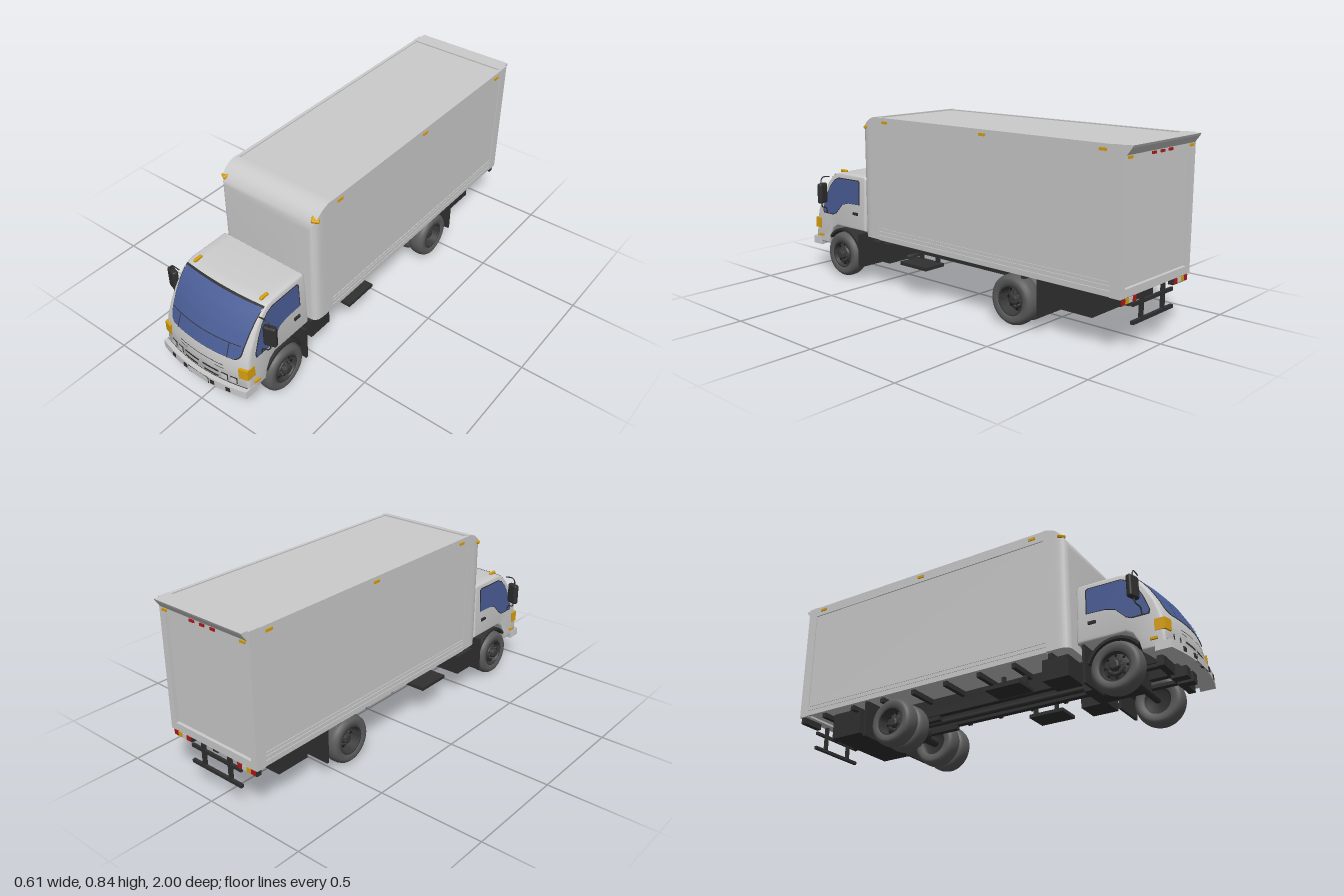
import * as THREE from 'three';
import { toCreasedNormals } from 'three/addons/utils/BufferGeometryUtils.js';
import { RoundedBoxGeometry } from 'three/addons/geometries/RoundedBoxGeometry.js';

const GREY = 0xcccccc, DARK = 0x303030, TYRE = 0x5c5c5c, GLASS = 0x4a5d96, AMBER = 0xd9a010, RED = 0xb01818;
const V = (x, y, z) => new THREE.Vector3(x, y, z);

function add(parent, name, geo, color, x = 0, y = 0, z = 0) {
  const mesh = new THREE.Mesh(geo, new THREE.MeshStandardMaterial({ color, side: THREE.DoubleSide }));
  mesh.name = name;
  mesh.position.set(x, y, z);
  parent.add(mesh);
  return mesh;
}
// Box given by its limits on each axis
function block(parent, name, color, x0, x1, y0, y1, z0, z1) {
  return add(parent, name, new THREE.BoxGeometry(x1 - x0, y1 - y0, z1 - z0), color, (x0 + x1) / 2, (y0 + y1) / 2, (z0 + z1) / 2);
}
// Side profile given as [z, y] points, extruded across x
function extrudeX(points, width, steps = 1, bevel = 0) {
  const depth = width - 2 * bevel;
  const shape = new THREE.Shape(points.map(p => new THREE.Vector2(p[0], p[1])));
  const geo = new THREE.ExtrudeGeometry(shape, {
    depth, steps, bevelEnabled: bevel > 0, bevelThickness: bevel, bevelSize: bevel, bevelOffset: -bevel, bevelSegments: 3 });
  return geo.rotateY(-Math.PI / 2).translate(depth / 2, 0, 0);
}
function moveVertices(geo, rule) {
  const p = geo.attributes.position, v = V();
  for (let i = 0; i < p.count; i++) {
    rule(v.fromBufferAttribute(p, i));
    p.setXYZ(i, v.x, v.y, v.z);
  }
  return toCreasedNormals(geo, 0.6);
}
// The cab narrows upward and its nose is bowed
function cabRule(v) {
  const bow = THREE.MathUtils.smoothstep(v.z, 0.7, 0.95) * 0.035 * (v.x / 0.24) ** 2;
  v.z -= bow;
  v.x *= (0.248 - 0.045 * v.y) / 0.24;
}

const nose = [[0.76, 0.53], [0.8, 0.522], [0.83, 0.508], [0.87, 0.474], [0.906, 0.43], [0.94, 0.37], [0.963, 0.31], [0.972, 0.25], [0.976, 0.16]];
function noseZ(y) {
  for (let i = 1; i < nose.length; i++) {
    const [z0, y0] = nose[i - 1], [z1, y1] = nose[i];
    if (y >= y1) return z0 + (z1 - z0) * (y0 - y) / (y0 - y1);
  }
  return 0.976;
}
// Sheet lying on the nose; span(y) gives its left and right limits
function nosePatch(parent, name, color, y0, y1, span, off = 0.004) {
  const geo = new THREE.PlaneGeometry(1, 1, 16, 20);
  return add(parent, name, moveVertices(geo, v => {
    const y = y0 + (y1 - y0) * (v.y + 0.5) ** 1.6, [a, b] = span(y);
    v.set(a + (b - a) * (v.x + 0.5), y, noseZ(y) + off);
    cabRule(v);
  }), color);
}

function buildCab(truck) {
  const cab = new THREE.Group();
  cab.name = 'cab';
  truck.add(cab);
  const outline = [[0.555, 0.255], [0.78, 0.255], [0.82, 0.235], [0.85, 0.195], [0.865, 0.15], [0.97, 0.15],
    ...nose.slice().reverse(), [0.568, 0.53], [0.555, 0.515]];
  add(cab, 'cabShell', moveVertices(extrudeX(outline, 0.48, 12, 0.011), cabRule), GREY);

  // Side windows and their dark seals, one slab through the shell
  const win = [[0.605, 0.385], [0.69, 0.382], [0.735, 0.37], [0.79, 0.322], [0.82, 0.312], [0.91, 0.312],
    [0.915, 0.33], [0.885, 0.4], [0.85, 0.452], [0.81, 0.485], [0.77, 0.5], [0.615, 0.502], [0.605, 0.495]];
  const seal = win.map(([z, y]) => [0.76 + (z - 0.76) * 1.035, 0.41 + (y - 0.41) * 1.05]);
  add(cab, 'windowSeals', moveVertices(extrudeX(seal, 0.483), cabRule), DARK);
  add(cab, 'sideWindows', moveVertices(extrudeX(win, 0.486), cabRule), GLASS);

  // Windscreen with rounded lower corners
  const screen = (grow, bottom) => y => {
    const r = 0.035, d = Math.max(0, bottom + r - y);
    const w = 0.2 + grow + 0.028 * (y - 0.31) / 0.2 - r + Math.sqrt(Math.max(0, r * r - d * d));
    return [-w, w];
  };
  nosePatch(cab, 'windscreenSeal', DARK, 0.307, 0.519, screen(0.004, 0.307), 0.002);
  nosePatch(cab, 'windscreen', GLASS, 0.311, 0.515, screen(0, 0.311), 0.0045);
  nosePatch(cab, 'wiperBar', DARK, 0.374, 0.377, () => [-0.2, 0.2], 0.008);

  // Grille, plate and bumper
  nosePatch(cab, 'noseSeam', DARK, 0.257, 0.26, () => [-0.125, 0.125]);
  nosePatch(cab, 'bumperSeam', DARK, 0.174, 0.178, () => [-0.235, 0.235]);
  const bumper = new THREE.BoxGeometry(0.482, 0.038, 0.07, 16, 1, 3).translate(0, 0.154, 0.965);
  add(cab, 'bumper', moveVertices(bumper, cabRule), GREY);
  block(cab, 'plateBorder', DARK, -0.058, 0.058, 0.135, 0.169, 0.99, 1.0);
  block(cab, 'numberPlate', GREY, -0.056, 0.056, 0.137, 0.167, 0.99, 1.001);

  for (const s of [-1, 1]) {
    const span = (a, b) => () => s > 0 ? [a, b] : [-b, -a];
    nosePatch(cab, 'wiper', DARK, 0.312, 0.375, span(0.142, 0.146), 0.008);
    nosePatch(cab, 'upperGrille', DARK, 0.207, 0.217, span(0.01, 0.097));
    nosePatch(cab, 'lowerGrille', DARK, 0.181, 0.19, span(0.02, 0.095));
    nosePatch(cab, 'noseVent', DARK, 0.24, 0.243, span(0.08, 0.125));
    for (const x of [0.128, 0.173]) {
      nosePatch(cab, 'headlightRim', DARK, 0.185, 0.217, span(x - 0.017, x + 0.017), 0.004);
      nosePatch(cab, 'headlight', GREY, 0.188, 0.214, span(x - 0.014, x + 0.014), 0.007);
    }
    for (const x of [0.078, 0.157]) {
      const fog = new THREE.BoxGeometry(0.02, 0.02, 0.01).translate(s * x, 0.154, 0.998);
      add(cab, 'fogLight', moveVertices(fog, cabRule), DARK);
    }
    const signal = new THREE.BoxGeometry(0.042, 0.052, 0.045, 4, 2, 2).translate(s * 0.2215, 0.25, 0.957);
    add(cab, 'turnSignal', moveVertices(signal, cabRule), AMBER);
    block(cab, 'sideMarker', AMBER, s * 0.243 - 0.005, s * 0.243 + 0.005, 0.185, 0.196, 0.88, 0.91);
    block(cab, 'doorHandle', DARK, s * 0.236 - 0.004, s * 0.236 + 0.004, 0.33, 0.343, 0.61, 0.645);
    add(cab, 'roofMarker', new RoundedBoxGeometry(0.014, 0.016, 0.045, 2, 0.005), AMBER, s * 0.186, 0.533, 0.765);

    // Mirror on a bent tube
    const arm = new THREE.CatmullRomCurve3([V(0.226, 0.5, 0.84), V(0.265, 0.502, 0.84), V(0.277, 0.49, 0.84), V(0.277, 0.42, 0.84),
      V(0.277, 0.355, 0.84), V(0.268, 0.345, 0.845), V(0.245, 0.34, 0.85), V(0.236, 0.31, 0.85)].map(p => V(p.x * s, p.y, p.z)));
    add(cab, 'mirrorArm', new THREE.TubeGeometry(arm, 36, 0.003, 6), DARK);
    add(cab, 'mirror', new RoundedBoxGeometry(0.058, 0.103, 0.028, 3, 0.01), DARK, s * 0.276, 0.422, 0.835).rotation.y = s * 0.3;

    // Fender arch and flap around the front wheel
    const arc = [];
    for (let i = 0; i <= 12; i++) arc.push(THREE.MathUtils.degToRad(35 + i * 10.5));
    const ring = [...arc.map(a => [0.134, a]), ...arc.slice().reverse().map(a => [0.122, a])];
    add(cab, 'fender', extrudeX(ring.map(([r, a]) => [0.724 + r * Math.cos(a), 0.113 + r * Math.sin(a)]), 0.11), DARK, s * 0.183);
    block(cab, 'frontMudFlap', DARK, s * 0.165 - 0.085, s * 0.165 + 0.085, 0.07, 0.24, 0.583, 0.595);
  }
}

function buildCargo(truck) {
  const cargo = new THREE.Group();
  cargo.name = 'cargoBox';
  truck.add(cargo);
  block(cargo, 'cargoBody', GREY, -0.255, 0.255, 0.25, 0.833, -0.93, 0.425);
  // Front cap: the top rolls over and the sides turn in
  const cap = moveVertices(new THREE.BoxGeometry(1, 1, 1, 1, 1, 20), v => {
    const t = Math.sin((v.z + 0.5) * Math.PI / 2);
    v.x = Math.sign(v.x) * (0.223 + 0.037 * Math.sqrt(Math.max(0, 1 - t ** 7)));
    v.y = v.y > 0 ? 0.73 + 0.11 * Math.sqrt(Math.max(0, 1 - t * t)) : 0.245;
    v.z = 0.42 + 0.11 * t;
  });
  add(cargo, 'frontCap', cap, GREY);

  // Rear frame, recessed door and spoiler
  const frame = new THREE.Shape([[-0.26, 0.24], [0.26, 0.24], [0.26, 0.84], [-0.26, 0.84]].map(p => new THREE.Vector2(...p)));
  frame.holes.push(new THREE.Path([[-0.228, 0.275], [-0.228, 0.775], [0.228, 0.775], [0.228, 0.275]].map(p => new THREE.Vector2(...p))));
  add(cargo, 'rearFrame', new THREE.ExtrudeGeometry(frame, { depth: 0.05, bevelEnabled: false }), GREY, 0, 0, -0.97);
  block(cargo, 'rearDoor', GREY, -0.23, 0.23, 0.27, 0.78, -0.955, -0.93);
  add(cargo, 'rearSpoiler', extrudeX([[-0.965, 0.84], [-1, 0.84], [-0.995, 0.83], [-0.972, 0.8], [-0.965, 0.8]], 0.5), GREY);
  for (const x of [-0.06, 0, 0.06]) block(cargo, 'rearMarker', RED, x - 0.013, x + 0.013, 0.786, 0.797, -0.976, -0.965);

  for (const s of [-1, 1]) {
    const rail = (name, x, y0, y1) => block(cargo, name, GREY, s * x - 0.008, s * x + 0.008, y0, y1, -0.92, 0.42);
    rail('topRail', 0.252, 0.79, 0.838);
    rail('lowerRail', 0.25, 0.288, 0.302);
    rail('middleRail', 0.251, 0.268, 0.286);
    rail('bottomRail', 0.252, 0.242, 0.266);
    for (const z of [0.365, -0.252, -0.872]) block(cargo, 'sideMarker', AMBER, s * 0.261 - 0.004, s * 0.261 + 0.004, 0.81, 0.822, z - 0.017, z + 0.017);
    add(cargo, 'capMarker', new RoundedBoxGeometry(0.034, 0.016, 0.034, 2, 0.005), AMBER, s * 0.246, 0.79, 0.503).rotation.set(0.4, s * 0.5, s * -0.3);
    block(cargo, 'rearCornerMarker', AMBER, s * 0.225 - 0.014, s * 0.225 + 0.014, 0.786, 0.797, -0.976, -0.965);
    // Tail light cluster
    block(cargo, 'tailLightHousing', DARK, s * 0.195 - 0.056, s * 0.195 + 0.056, 0.21, 0.24, -0.965, -0.94);
    [RED, GREY, AMBER, RED].forEach((c, i) => {
      const x = s * (0.156 + i * 0.026);
      block(cargo, 'tailLight', c, x - 0.012, x + 0.012, 0.214, 0.236, -0.969, -0.962);
    });
  }
}

function buildWheel(parent, x, z, side, dished) {
  const wheel = new THREE.Group();
  wheel.name = 'wheel';
  wheel.position.set(x, 0.113, z);
  wheel.rotation.y = side > 0 ? 0 : Math.PI;
  parent.add(wheel);
  const lathe = pts => new THREE.LatheGeometry(pts.map(p => new THREE.Vector2(...p)), 40).rotateZ(-Math.PI / 2);
  add(wheel, 'tyre', lathe([[0.062, -0.034], [0.075, -0.039], [0.09, -0.042], [0.101, -0.038], [0.109, -0.028], [0.113, -0.012],
    [0.113, 0.012], [0.109, 0.028], [0.101, 0.038], [0.09, 0.042], [0.075, 0.039], [0.062, 0.034], [0.06, 0], [0.062, -0.034]]), TYRE);
  const d = dished ? -0.012 : 0.018;
  add(wheel, 'rim', toCreasedNormals(lathe([[0.068, 0.037], [0.062, 0.037], [0.056, d], [0.042, d + 0.004], [0.036, d + 0.012],
    [0.024, d + 0.012], [0.022, d + 0.03], [0.016, d + 0.034], [0, d + 0.034]]), 0.5), 0x3a3a3a);
  add(wheel, 'innerRim', lathe([[0, -0.02], [0.05, -0.02], [0.064, -0.035]]), DARK);
  for (let i = 0; i < 8; i++) {
    const a = i * Math.PI / 4;
    const put = (name, r, size, out, c) => add(wheel, name, new THREE.CylinderGeometry(size, size, 0.008, 8).rotateZ(Math.PI / 2), c, out, r * Math.cos(a), r * Math.sin(a));
    put('wheelNut', 0.03, 0.003, d + 0.014, 0x555555);
    put('rimHole', 0.049, 0.006, d, 0x151515);
  }
}

function buildChassis(truck) {
  const chassis = new THREE.Group();
  chassis.name = 'chassis';
  truck.add(chassis);
  const axle = (name, z, r) => add(chassis, name, new THREE.CylinderGeometry(r, r, 0.36, 16).rotateZ(Math.PI / 2), DARK, 0, 0.113, z);
  axle('frontAxle', 0.724, 0.016);
  axle('rearAxle', -0.407, 0.022);
  add(chassis, 'differential', new THREE.SphereGeometry(0.045, 20, 14), DARK, 0, 0.125, -0.407);
  add(chassis, 'driveShaft', new THREE.CylinderGeometry(0.012, 0.012, 0.95, 12).rotateX(Math.PI / 2), DARK, 0, 0.16, 0.08);
  block(chassis, 'engine', DARK, -0.08, 0.08, 0.11, 0.25, 0.5, 0.74);
  block(chassis, 'frontCrossMember', DARK, -0.17, 0.17, 0.105, 0.16, 0.87, 0.9);
  for (let i = 0; i < 8; i++) block(chassis, 'crossMember', DARK, -0.24, 0.24, 0.222, 0.245, 0.42 - i * 0.18, 0.44 - i * 0.18);
  block(chassis, 'fuelTank', DARK, -0.25, -0.12, 0.12, 0.215, 0.395, 0.52);
  block(chassis, 'batteryBox', DARK, 0.1, 0.22, 0.12, 0.215, 0.395, 0.52);
  block(chassis, 'rearToolBox', DARK, -0.2, 0.2, 0.115, 0.24, -0.8, -0.63);
  // Rear guard
  block(chassis, 'guardBar', DARK, -0.15, 0.15, 0.11, 0.125, -0.963, -0.948);
  block(chassis, 'guardUpperBar', DARK, -0.15, 0.15, 0.185, 0.2, -0.96, -0.948);

  for (const s of [-1, 1]) {
    block(chassis, 'frameRail', DARK, s * 0.075 - 0.015, s * 0.075 + 0.015, 0.16, 0.245, -0.9, 0.9);
    block(chassis, 'towBracket', DARK, s * 0.034 - 0.022, s * 0.034 + 0.022, 0.09, 0.16, 0.88, 0.95);
    block(chassis, 'leafSpring', DARK, s * 0.1 - 0.014, s * 0.1 + 0.014, 0.13, 0.145, 0.58, 0.87);
    block(chassis, 'rearLeafSpring', DARK, s * 0.07 - 0.014, s * 0.07 + 0.014, 0.14, 0.16, -0.56, -0.25);
    block(chassis, 'sideStep', DARK, s * 0.19 - 0.06, s * 0.19 + 0.06, 0.142, 0.158, 0.11, 0.285);
    for (const z of [0.14, 0.25]) block(chassis, 'stepBracket', DARK, s * 0.14 - 0.008, s * 0.14 + 0.008, 0.15, 0.24, z - 0.008, z + 0.008);
    block(chassis, 'rearMudFlap', DARK, s * 0.165 - 0.085, s * 0.165 + 0.085, 0.07, 0.245, -0.562, -0.552);
    block(chassis, 'guardPost', DARK, s * 0.08 - 0.008, s * 0.08 + 0.008, 0.11, 0.245, -0.96, -0.945);
    buildWheel(chassis, s * 0.212, 0.724, s, false);
    buildWheel(chassis, s * 0.212, -0.407, s, true);
    buildWheel(chassis, s * 0.124, -0.407, s, true);
  }
}

export function createModel() {
  const truck = new THREE.Group();
  truck.name = 'boxTruck';
  buildCab(truck);
  buildCargo(truck);
  buildChassis(truck);
  return truck;
}
